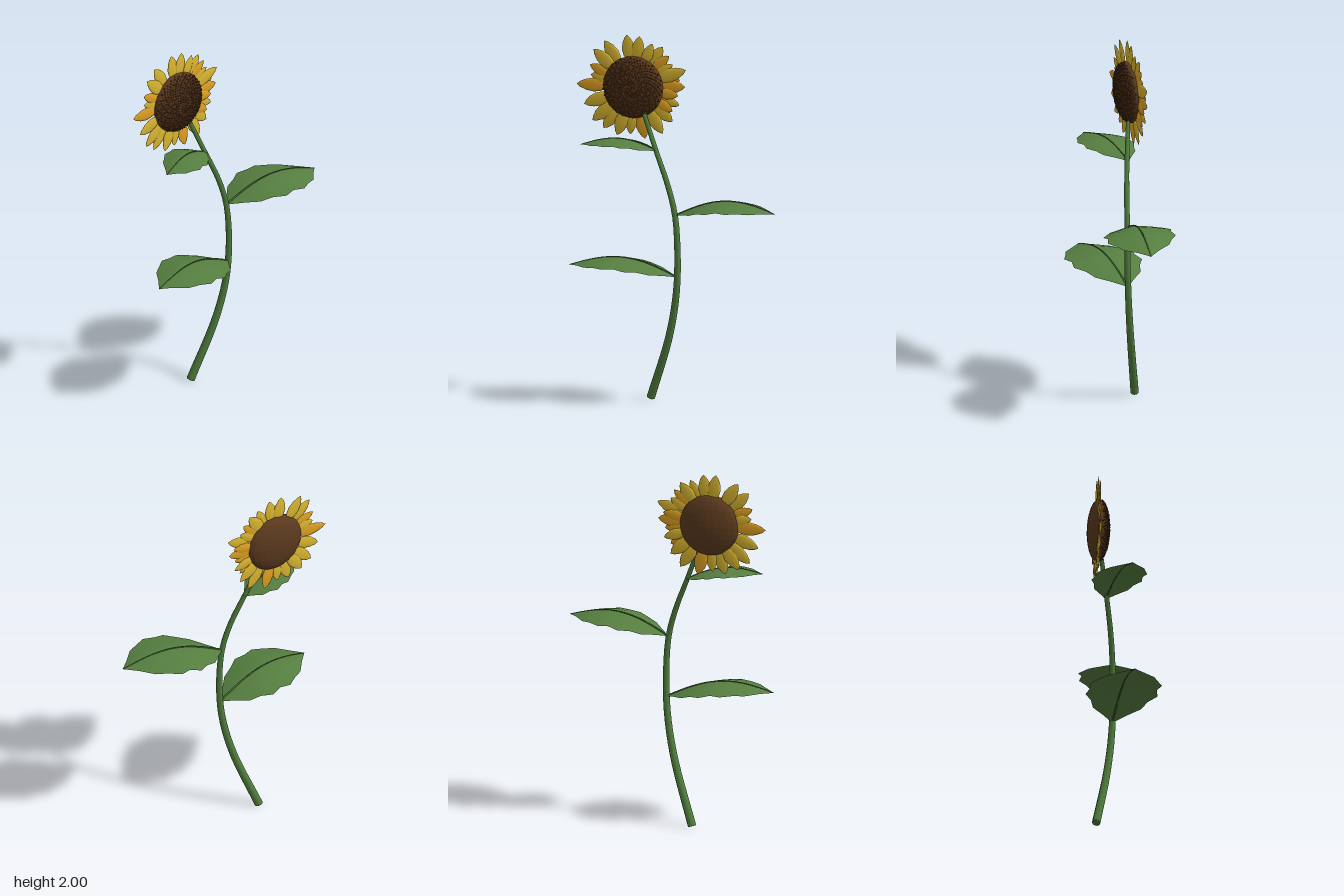
import * as THREE from 'three';
import { mergeGeometries } from 'three/addons/utils/BufferGeometryUtils.js';

const V = (x, y, z) => new THREE.Vector3(x, y, z);

function material(name, color, extra = {}) {
  const m = new THREE.MeshStandardMaterial({ color, ...extra });
  m.name = name;
  return m;
}

function mesh(name, geometry, mat) {
  const m = new THREE.Mesh(geometry, mat);
  m.name = name;
  return m;
}

// Tube whose radius runs from r0 to r1, closed at both ends
function taperedTube(path, segments, sides, r0, r1) {
  const tube = new THREE.TubeGeometry(path, segments, 1, sides);
  const pos = tube.attributes.position;
  const v = V(0, 0, 0);
  for (let i = 0; i <= segments; i++) {
    const c = path.getPointAt(i / segments);
    const r = THREE.MathUtils.lerp(r0, r1, i / segments);
    for (let j = 0; j <= sides; j++) {
      const k = i * (sides + 1) + j;
      v.fromBufferAttribute(pos, k).sub(c).multiplyScalar(r).add(c);
      pos.setXYZ(k, v.x, v.y, v.z);
    }
  }
  const caps = [[0, r0, -1], [1, r1, 1]].map(([t, r, dir]) => {
    const cap = new THREE.CircleGeometry(r, sides);
    const p = path.getPointAt(t);
    const out = path.getTangentAt(t).multiplyScalar(dir);
    cap.applyQuaternion(new THREE.Quaternion().setFromUnitVectors(V(0, 0, 1), out));
    return cap.translate(p.x, p.y, p.z);
  });
  return mergeGeometries([tube, ...caps]);
}

// Half widths of a leaf from base to tip, giving its scalloped edge
const LEAF_WIDTHS = [0.004, 0.066, 0.131, 0.155, 0.196, 0.181, 0.196, 0.16, 0.13, 0.06, 0];

// Arched leaf with a raised midrib and drooping sides
function leaf(name, base, tip, size, leafMat, ribMat) {
  const group = new THREE.Group();
  group.name = name;
  const n = LEAF_WIDTHS.length - 1;
  const across = [-1, -0.5, 0, 0.5, 1];
  const points = [], index = [], rib = [];
  for (let i = 0; i <= n; i++) {
    const t = i / n;
    const c = base.clone().lerp(tip, t);
    c.y += 0.075 * size * Math.sin(Math.PI * t);
    rib.push(c);
    const w = LEAF_WIDTHS[i] * size;
    for (const s of across) {
      points.push(c.x, c.y - 0.2 * w * Math.pow(Math.abs(s), 1.2), c.z + s * w);
    }
  }
  const m = across.length;
  const facesRight = tip.x > base.x;
  for (let i = 0; i < n; i++) {
    for (let j = 0; j < m - 1; j++) {
      const a = i * m + j, b = a + 1, c = a + m, d = c + 1;
      if (facesRight) index.push(a, b, c, b, d, c);
      else index.push(a, c, b, b, c, d);
    }
  }
  const blade = new THREE.BufferGeometry();
  blade.setAttribute('position', new THREE.Float32BufferAttribute(points, 3));
  blade.setIndex(index);
  blade.computeVertexNormals();
  group.add(mesh('leafBlade', blade, leafMat));
  const ribGeo = taperedTube(new THREE.CatmullRomCurve3(rib), 16, 6, 0.006 * size, 0.002);
  group.add(mesh('leafMidrib', ribGeo, ribMat));
  return group;
}

// Pointed flat petal lying along +y from the origin, of length 1
function petalGeometry() {
  const profile = [[0, 0], [0.5, 0.12], [0.85, 0.3], [1, 0.5], [0.8, 0.72], [0.42, 0.9], [0, 1]];
  return new THREE.LatheGeometry(profile.map(([x, y]) => new THREE.Vector2(x, y)), 8);
}

export function createModel() {
  const model = new THREE.Group();
  model.name = 'sunflower';

  const stemGreen = material('stem green', 0x4f7d3c);
  const leafGreen = material('leaf green', 0x567f40, { side: THREE.DoubleSide });
  const ribGreen = material('midrib green', 0x3f6630);
  const yellow = material('petal yellow', 0xdcb832);
  const amber = material('petal amber', 0xe2a323);
  const brown = material('disc brown', 0x5c3a1e, { flatShading: true });
  const darkSeed = material('dark seed', 0x55301a, { flatShading: true });
  const tanSeed = material('tan seed', 0x87602f, { flatShading: true });

  // Curved stem
  const stemPath = new THREE.CatmullRomCurve3([
    V(-0.17, 0.009, -0.142), V(-0.045, 0.36, -0.075), V(0.005, 0.6, -0.045),
    V(0.016, 0.82, -0.035), V(0, 1.04, -0.039), V(-0.045, 1.2, -0.052),
    V(-0.12, 1.38, -0.08), V(-0.2, 1.575, -0.115),
  ]);
  model.add(mesh('stem', taperedTube(stemPath, 28, 10, 0.023, 0.012), stemGreen));

  // Leaves
  model.add(leaf('lowerRightLeaf', V(0.01, 0.7, -0.038), V(-0.578, 0.75, 0.036), 1, leafGreen, ribGreen));
  model.add(leaf('middleLeftLeaf', V(0.004, 1.04, -0.042), V(0.592, 1.09, 0.036), 1, leafGreen, ribGreen));
  model.add(leaf('upperRightLeaf', V(-0.11, 1.38, -0.085), V(-0.515, 1.415, 0.03), 0.7, leafGreen, ribGreen));

  // Flower head
  const head = new THREE.Group();
  head.name = 'flowerHead';
  head.position.set(-0.27, 1.715, -0.14);
  model.add(head);

  const disc = new THREE.SphereGeometry(0.17, 24, 16).scale(1, 1, 0.355);
  head.add(mesh('seedDisc', disc, brown));

  // Petals: angle in degrees, tip radius, 1 for amber
  const petals = [
    [98, 0.288, 0], [83, 0.283, 0], [66, 0.268, 0], [54, 0.282, 0], [42, 0.272, 1],
    [20, 0.318, 0], [11, 0.27, 1], [3, 0.294, 1], [-8, 0.258, 1], [-19, 0.275, 0],
    [-39, 0.286, 0], [-56, 0.3, 0], [-77, 0.29, 1], [-94, 0.262, 0], [-109, 0.285, 0],
    [-126, 0.292, 0], [-140, 0.305, 0], [-159, 0.3, 0], [180, 0.325, 1], [156, 0.272, 1],
    [139, 0.3, 0], [124, 0.298, 0], [31, 0.26, 0], [-29, 0.255, 1], [167, 0.25, 0],
  ];
  const petalGeo = petalGeometry();
  petals.forEach(([deg, tip, isAmber], i) => {
    const inner = 0.13;
    const p = mesh('petal', petalGeo, isAmber ? amber : yellow);
    const a = THREE.MathUtils.degToRad(deg);
    p.scale.set(tip > 0.28 ? 0.038 : 0.031, tip - inner, 0.006);
    p.rotation.z = a - Math.PI / 2;
    p.position.set(inner * Math.cos(a), inner * Math.sin(a), -0.006 + (i % 3 - 1) * 0.003);
    head.add(p);
  });

  // Seeds in a spiral over the front of the disc
  const seeds = [[], []];
  const count = 420;
  for (let i = 0; i < count; i++) {
    const r = 0.167 * Math.sqrt((i + 0.5) / count);
    const a = i * 2.39996;
    const z = 0.06 * Math.sqrt(1 - (r / 0.17) ** 2);
    const isTan = i % 4 === 1;
    const seed = new THREE.IcosahedronGeometry(isTan ? 0.0046 : 0.0055, 0);
    seed.translate(r * Math.cos(a), r * Math.sin(a), z + 0.001);
    seeds[isTan ? 1 : 0].push(seed);
  }
  head.add(mesh('darkSeeds', mergeGeometries(seeds[0]), darkSeed));
  head.add(mesh('tanSeeds', mergeGeometries(seeds[1]), tanSeed));

  return model;
}
